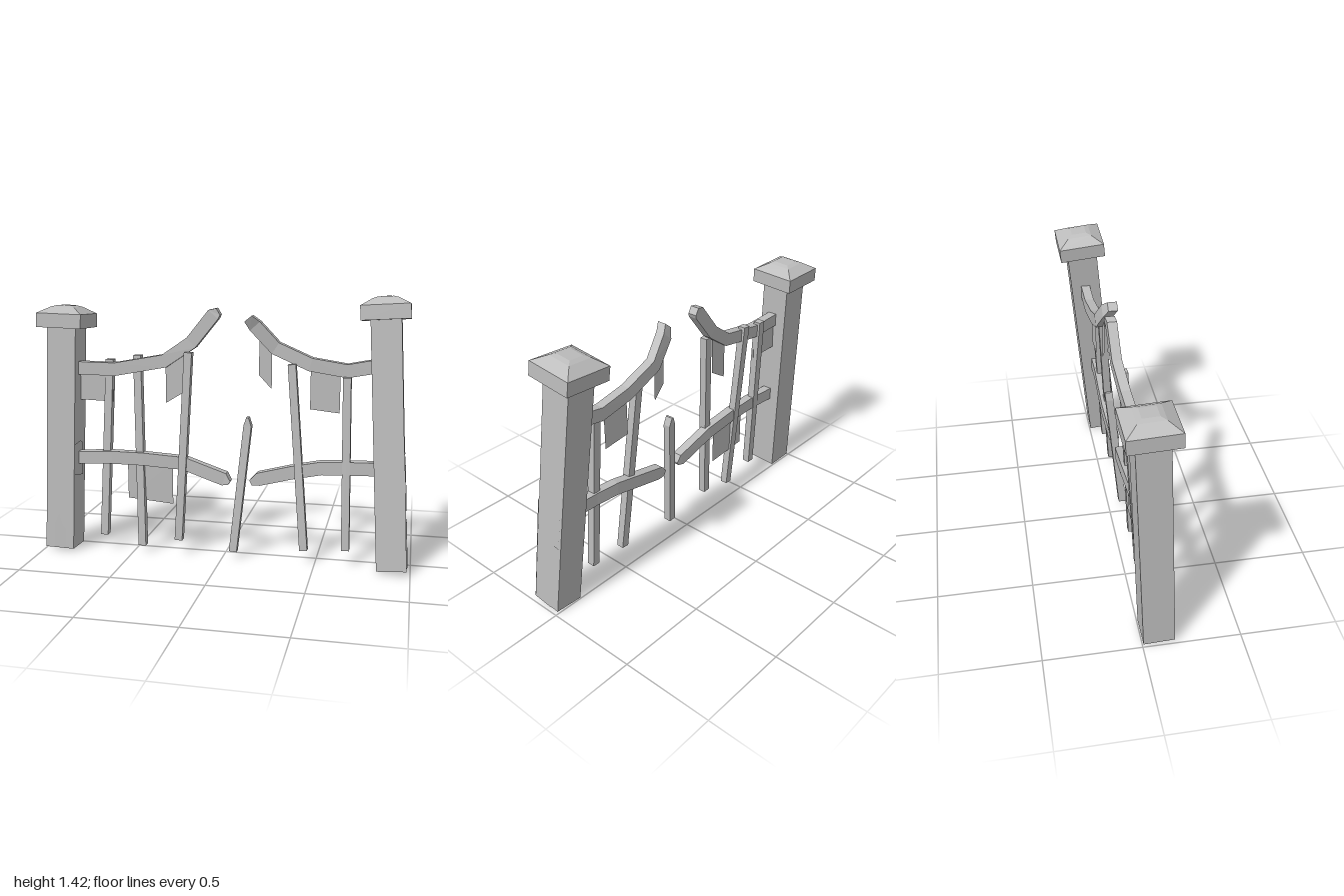
import * as THREE from 'three';

const stone = new THREE.MeshStandardMaterial({ color: 0xbcbcbc, side: THREE.DoubleSide });
stone.name = 'weathered grey';

function addMesh(parent, name, geometry) {
  const mesh = new THREE.Mesh(geometry, stone);
  mesh.name = name;
  parent.add(mesh);
  return mesh;
}

// Square beam along points [x, y, z, optional thickness], mitred at each bend
function beam(points, thickness, depth) {
  const rings = points.map(([x, y, z, t = thickness], i) => {
    const a = points[Math.max(i - 1, 0)];
    const b = points[Math.min(i + 1, points.length - 1)];
    const len = Math.hypot(b[0] - a[0], b[1] - a[1]);
    const nx = -(b[1] - a[1]) / len * t / 2;
    const ny = (b[0] - a[0]) / len * t / 2;
    return [[1, 1], [-1, 1], [-1, -1], [1, -1]].map(([n, d]) => [x + n * nx, y + n * ny, z + d * depth / 2]);
  });
  const pos = [];
  const quad = (a, b, c, d) => pos.push(...a, ...b, ...c, ...a, ...c, ...d);
  for (let i = 0; i < rings.length - 1; i++) {
    for (let k = 0; k < 4; k++) {
      const m = (k + 1) % 4;
      quad(rings[i][k], rings[i][m], rings[i + 1][m], rings[i + 1][k]);
    }
  }
  const first = rings[0], last = rings[rings.length - 1];
  quad(first[3], first[2], first[1], first[0]);
  quad(last[0], last[1], last[2], last[3]);
  const g = new THREE.BufferGeometry();
  g.setAttribute('position', new THREE.Float32BufferAttribute(pos, 3));
  g.computeVertexNormals();
  return g;
}

// Thin flat plate from an outline
function plate(outline) {
  return new THREE.ShapeGeometry(new THREE.Shape(outline.map(([x, y]) => new THREE.Vector2(x, y))));
}

// Four-sided tapered block
function frustum(top, bottom, height, y) {
  const g = new THREE.CylinderGeometry(top * Math.SQRT1_2, bottom * Math.SQRT1_2, height, 4)
    .rotateY(Math.PI / 4).translate(0, y + height / 2, 0).toNonIndexed();
  g.computeVertexNormals();
  return g;
}

// Leaning post with a stepped cap; returns its group for surface plates
function makePost(name, base, top, width, depth) {
  const post = new THREE.Group();
  post.name = name;
  const foot = new THREE.Vector3(...base);
  const dir = new THREE.Vector3(...top).sub(foot);
  const h = dir.length();
  post.position.copy(foot);
  post.quaternion.setFromUnitVectors(new THREE.Vector3(0, 1, 0), dir.normalize());
  addMesh(post, 'postShaft', new THREE.BoxGeometry(width, h, depth).translate(0, h / 2, 0));
  addMesh(post, 'capSlab', new THREE.BoxGeometry(0.25, 0.075, 0.25).translate(0, h + 0.037, 0));
  addMesh(post, 'capSlope', frustum(0.13, 0.25, 0.035, h + 0.074));
  addMesh(post, 'capCrown', frustum(0.08, 0.13, 0.008, h + 0.109));
  const chip = plate([[-0.03, -0.01], [0.005, -0.025], [0.03, 0], [0.01, 0.025], [-0.02, 0.018]]);
  addMesh(post, 'capChip', chip.rotateX(-Math.PI / 2).translate(0, h + 0.119, 0));
  return post;
}

export function createModel() {
  const gate = new THREE.Group();
  gate.name = 'ruinedGate';

  // Gate posts
  const rightPost = makePost('rightPost', [-0.91, 0.012, 0.085], [-0.878, 1.23, 0.027], 0.16, 0.16);
  const leftPost = makePost('leftPost', [0.905, 0.015, 0.088], [0.828, 1.295, -0.037], 0.155, 0.165);
  gate.add(rightPost, leftPost);

  // Broken patches on the post faces
  addMesh(rightPost, 'frontPatch', plate([[-0.03, 0.01], [0.035, 0.01], [0.035, 0.11], [0.015, 0.13],
    [-0.005, 0.19], [-0.03, 0.13]])).position.z = 0.084;
  const inner = addMesh(rightPost, 'innerPatch', plate([[-0.08, 0.42], [0.04, 0.4], [0.04, 0.58], [0, 0.6], [-0.08, 0.59]]));
  inner.rotation.y = Math.PI / 2;
  inner.position.x = 0.084;
  addMesh(leftPost, 'frontPatch', plate([[-0.077, 0], [0.077, 0], [0.08, 0.61], [0.04, 0.58], [0.01, 0.6],
    [-0.03, 0.59], [-0.06, 0.63], [-0.077, 0.6]])).position.z = 0.087;
  const outer = addMesh(leftPost, 'outerPatch', plate([[-0.082, 0], [0.04, 0], [0.04, 0.4], [0.07, 0.4],
    [0.07, 0.6], [-0.05, 0.6], [-0.082, 0.62]]));
  outer.rotation.y = Math.PI / 2;
  outer.position.x = 0.081;

  // Rails
  const rails = {
    rightUpperRail: [[-0.84, 1.013, 0.045], [-0.6, 1.01, 0.035], [-0.33, 1.06, 0.02], [-0.185, 1.16, 0.0],
      [-0.065, 1.31, -0.005], [-0.04, 1.325, -0.01, 0.04]],
    rightLowerRail: [[-0.85, 0.515, 0.06], [-0.62, 0.527, 0.06], [-0.45, 0.525, 0.055], [-0.22, 0.51, 0.045],
      [0.005, 0.437, 0.055], [0.035, 0.42, 0.06, 0.02]],
    leftUpperRail: [[0.128, 1.295, 0.035, 0.05], [0.16, 1.255, 0.01], [0.265, 1.14, -0.012], [0.45, 1.06, -0.008],
      [0.64, 1.03, -0.015], [0.8, 1.06, -0.02]],
    leftLowerRail: [[0.15, 0.425, 0.05, 0.03], [0.19, 0.445, 0.045], [0.36, 0.487, 0.035], [0.52, 0.52, 0.035],
      [0.66, 0.527, 0.04], [0.84, 0.532, 0.04]],
  };
  for (const [name, path] of Object.entries(rails)) addMesh(gate, name, beam(path, 0.07, 0.05));

  // Pickets, bottom to top
  const pickets = [
    [[-0.67, 0.088, 0.08], [-0.637, 1.06, 0.015]],
    [[-0.452, 0.04, 0.08], [-0.485, 1.085, 0.005]],
    [[-0.245, 0.085, 0.08], [-0.195, 1.11, 0.035]],
    [[0.44, 0.075, 0.08], [0.355, 1.06, 0.015]],
    [[0.66, 0.09, 0.075], [0.642, 1.0, 0.02]],
    [[0.058, 0.042, 0.08], [0.123, 0.725, 0.015], [0.122, 0.77, 0.012, 0.012]],
  ];
  pickets.forEach((path, i) => addMesh(gate, i < 5 ? 'picket' : 'loosePicket', beam(path, 0.042, 0.042)));

  // Ragged panels hanging from the rails
  const panels = [
    [0.035, [[-0.81, 0.835], [-0.62, 0.83], [-0.62, 1.01], [-0.81, 1.01]]],
    [0.015, [[-0.328, 0.83], [-0.225, 0.893], [-0.22, 1.13], [-0.328, 1.06]]],
    [0.05, [[-0.54, 0.295], [-0.285, 0.275], [-0.285, 0.51], [-0.54, 0.52]]],
    [0.0, [[0.178, 0.995], [0.246, 0.922], [0.246, 1.15], [0.178, 1.23]]],
    [-0.005, [[0.45, 0.822], [0.605, 0.806], [0.605, 1.03], [0.45, 1.05]]],
  ];
  for (const [z, outline] of panels) addMesh(gate, 'hangingPanel', plate(outline)).position.z = z;

  return gate;
}
